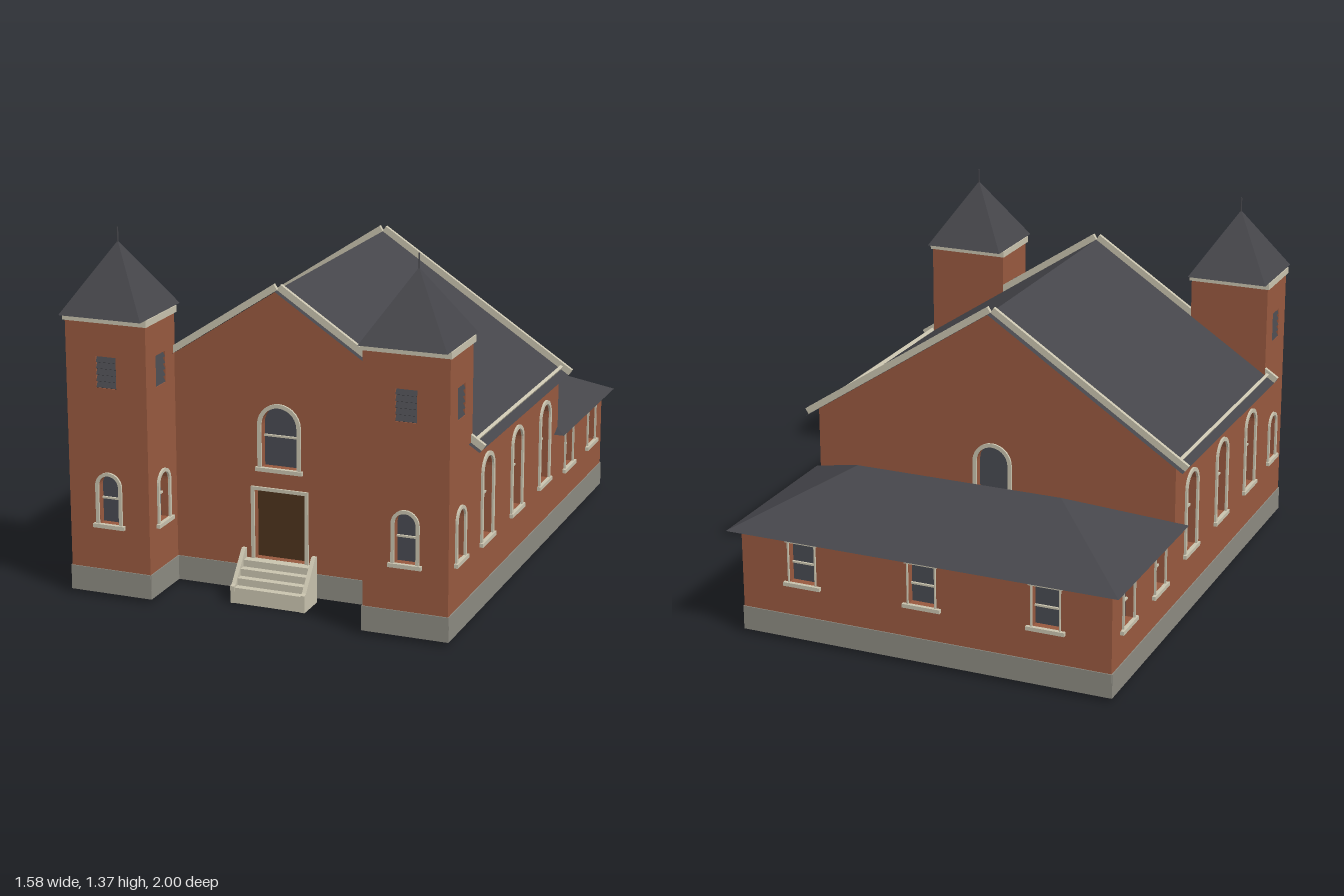
import * as THREE from 'three';

const mat = (name, color, side = THREE.FrontSide) => {
  const m = new THREE.MeshStandardMaterial({ color, side });
  m.name = name;
  return m;
};

export function createModel() {
  const brick = mat('brick', 0x98593f, THREE.DoubleSide);
  const stone = mat('foundation stone', 0x8c8a81);
  const slate = mat('slate roof', 0x45454a, THREE.DoubleSide);
  const cream = mat('cream trim', 0xc9c3ae);
  const glass = mat('dark glass', 0x484a52, THREE.DoubleSide);
  const wood = mat('door wood', 0x4c321c, THREE.DoubleSide);

  const root = new THREE.Group();
  root.name = 'church';

  const add = (parent, name, geo, material, x = 0, y = 0, z = 0) => {
    const m = new THREE.Mesh(geo, material);
    m.name = name;
    m.position.set(x, y, z);
    parent.add(m);
    return m;
  };
  const box = (parent, name, w, h, d, material, x, y, z) =>
    add(parent, name, new THREE.BoxGeometry(w, h, d), material, x, y, z);

  // Outline of an opening, grown by d; arched or square at the top
  const outline = ({ u, y, w, h, arch }, d = 0) => {
    const r = w / 2 + d, top = y + h + d;
    const pts = [new THREE.Vector2(u - r, y - d), new THREE.Vector2(u + r, y - d)];
    if (!arch) return [...pts, new THREE.Vector2(u + r, top), new THREE.Vector2(u - r, top)];
    for (let i = 0; i <= 14; i++) {
      const a = Math.PI * i / 14;
      pts.push(new THREE.Vector2(u + r * Math.cos(a), top - r + r * Math.sin(a)));
    }
    return pts;
  };
  const ring = (o, t, depth) => {
    const s = new THREE.Shape(outline(o, t));
    s.holes.push(new THREE.Path(outline(o)));
    return new THREE.ExtrudeGeometry(s, { depth, bevelEnabled: false });
  };

  // Recessed window, door or vent, in wall coordinates (+z is outward)
  const fillOpening = (wall, o) => {
    const g = new THREE.Group();
    g.name = o.name;
    wall.add(g);
    add(g, 'reveal', ring(o, 0.003, 0.03), brick, 0, 0, -0.031);
    add(g, 'panel', new THREE.ShapeGeometry(new THREE.Shape(outline(o))), o.fill || glass, 0, 0, -0.03);
    if (o.vent) {
      for (let i = 0; i < 5; i++) {
        const slat = box(g, 'slat', o.w, 0.024, 0.004, slate, o.u, o.y + o.h * (i + 0.5) / 5, -0.008);
        slat.rotation.x = -0.5;
      }
      return;
    }
    add(g, 'frame', ring(o, o.trim, 0.008), cream);
    if (o.fill) return;
    box(g, 'sill', o.w + 0.045, 0.015, 0.016, cream, o.u, o.y - 0.0075, 0.006);
    box(g, 'crossbar', o.w, 0.007, 0.008, cream, o.u, o.y + o.h * (o.arch ? 0.5 : 0.45), -0.025);
    if (!o.arch) box(g, 'lintel', o.w + 0.025, 0.015, 0.014, cream, o.u, o.y + o.h + 0.0075, 0.005);
  };

  // Wall panel with openings, foundation band and optional gable peak
  const wall = (parent, name, x, z, turn, w, y0, y1, openings = [], peak = 0) => {
    const g = new THREE.Group();
    g.name = name;
    g.position.set(x, 0, z);
    g.rotation.y = turn;
    parent.add(g);
    const s = new THREE.Shape();
    s.moveTo(-w / 2, y0);
    s.lineTo(w / 2, y0);
    s.lineTo(w / 2, y1);
    if (peak) s.lineTo(0, peak);
    s.lineTo(-w / 2, y1);
    s.closePath();
    openings.forEach(o => s.holes.push(new THREE.Path(outline(o))));
    add(g, 'brickwork', new THREE.ShapeGeometry(s), brick);
    if (y0 < 0.1) box(g, 'foundation', w + 0.004, 0.093, 0.004, stone, 0, 0.0615, 0.002);
    openings.forEach(o => fillOpening(g, o));
  };

  // Flat polygons sharing a list of corners
  const facets = (corners, faces) => {
    const pos = [];
    for (const f of faces)
      for (let i = 1; i < f.length - 1; i++)
        pos.push(...corners[f[0]], ...corners[f[i]], ...corners[f[i + 1]]);
    const geo = new THREE.BufferGeometry();
    geo.setAttribute('position', new THREE.Float32BufferAttribute(pos, 3));
    geo.computeVertexNormals();
    return geo;
  };

  const Q = Math.PI / 2, base = 0.015;
  const arched = (u, y, w, h, trim = 0.015) => ({ name: 'archedWindow', u, y, w, h, arch: true, trim });
  const square = u => ({ name: 'squareWindow', u, y: 0.24, w: 0.105, h: 0.16, trim: 0.005 });

  // Main hall
  const hall = new THREE.Group();
  hall.name = 'hall';
  root.add(hall);
  wall(hall, 'frontGable', 0, 0.725, 0, 1.47, base, 0.681, [
    arched(0, 0.495, 0.14, 0.23),
    { name: 'door', u: 0, y: 0.14, w: 0.2, h: 0.265, trim: 0.013, fill: wood },
  ], 1.163);
  wall(hall, 'backGable', 0, -0.325, Math.PI, 1.47, base, 0.681, [arched(0, 0.265, 0.13, 0.365)], 1.163);
  for (const s of [-1, 1])
    wall(hall, 'sideWall', s * 0.735, 0.2, s * Q, 1.05, base, 0.681,
      [-0.347, 0, 0.347].map(u => arched(u, 0.27, 0.11, 0.31)));

  // Hall roof with raised border strips
  const eaveX = 0.775, eaveY = 0.655, ridgeY = 1.165, zf = 0.76, zb = -0.365;
  add(hall, 'hallRoof', facets([
    [-eaveX, eaveY, zf], [0, ridgeY, zf], [eaveX, eaveY, zf],
    [-eaveX, eaveY, zb], [0, ridgeY, zb], [eaveX, eaveY, zb],
  ], [[1, 2, 5, 4], [0, 1, 4, 3]]), slate);
  const slopeLength = Math.hypot(eaveX, ridgeY - eaveY);
  for (const s of [-1, 1]) {
    const slope = new THREE.Group();
    slope.name = 'roofBorder';
    slope.position.y = ridgeY;
    slope.rotation.z = -s * Math.atan2(ridgeY - eaveY, eaveX);
    hall.add(slope);
    for (const z of [0.728, -0.33])
      box(slope, 'rakeTrim', slopeLength, 0.025, 0.015, cream, s * slopeLength / 2, 0.0125, z);
    box(slope, 'eaveTrim', 0.012, 0.014, 1.05, cream, s * (slopeLength - 0.042), 0.007, 0.2);
  }

  // Twin towers
  for (const s of [-1, 1]) {
    const t = new THREE.Group();
    t.name = s > 0 ? 'leftTower' : 'rightTower';
    t.position.set(s * 0.575, 0, 0.84);
    root.add(t);
    const openings = [
      arched(0, 0.285, 0.08, 0.185, 0.013),
      { name: 'vent', u: 0, y: 0.8, w: 0.08, h: 0.118, vent: true },
    ];
    wall(t, 'towerFront', 0, 0.12, 0, 0.32, base, 1.05, openings);
    for (const k of [-1, 1]) wall(t, 'towerSide', k * 0.16, 0, k * Q, 0.24, base, 1.05, openings);
    wall(t, 'towerBack', 0, -0.12, Math.PI, 0.32, 0.6, 1.05);
    box(t, 'cornice', 0.334, 0.025, 0.254, cream, 0, 1.0555, 0);
    const roof = new THREE.ConeGeometry(0.163 * Math.SQRT2, 0.253, 4, 1).toNonIndexed();
    roof.rotateY(Math.PI / 4);
    roof.computeVertexNormals();
    add(t, 'towerRoof', roof, slate, 0, 1.1945, 0);
    add(t, 'finial', new THREE.CylinderGeometry(0.003, 0.003, 0.06, 8), slate, 0, 1.342, 0);
  }

  // Rear annex with a hipped roof
  const annex = new THREE.Group();
  annex.name = 'annex';
  root.add(annex);
  wall(annex, 'annexBack', 0, -0.955, Math.PI, 1.47, base, 0.425, [-0.485, 0, 0.485].map(square));
  for (const s of [-1, 1])
    wall(annex, 'annexSide', s * 0.735, -0.64, s * Q, 0.63, base, 0.425, [-0.16, 0.16].map(square));
  add(annex, 'annexRoof', facets([
    [-0.775, 0.42, -0.28], [0.775, 0.42, -0.28], [0.775, 0.42, -1], [-0.775, 0.42, -1],
    [-0.41, 0.607, -0.64], [0.41, 0.607, -0.64],
  ], [[0, 1, 5, 4], [1, 2, 5], [2, 3, 4, 5], [3, 0, 4]]), slate);

  // Entrance steps with sloping cheek walls
  const steps = new THREE.Group();
  steps.name = 'entranceSteps';
  root.add(steps);
  [0.06, 0.087, 0.114, 0.14].forEach((top, i) => {
    const depth = 0.117 - i * 0.028;
    box(steps, 'step', 0.264, top, depth, cream, 0, top / 2, 0.73 + depth / 2);
  });
  const cheek = new THREE.Shape([[0.73, 0], [0.85, 0], [0.85, 0.065], [0.835, 0.07], [0.745, 0.178], [0.73, 0.178]]
    .map(p => new THREE.Vector2(-p[0], p[1])));
  for (const s of [-1, 1]) {
    const geo = new THREE.ExtrudeGeometry(cheek, { depth: 0.016, bevelEnabled: false });
    geo.translate(0, 0, -0.008);
    geo.rotateY(Q);
    add(steps, 'cheekWall', geo, cream, s * 0.139, 0, 0);
  }

  return root;
}
